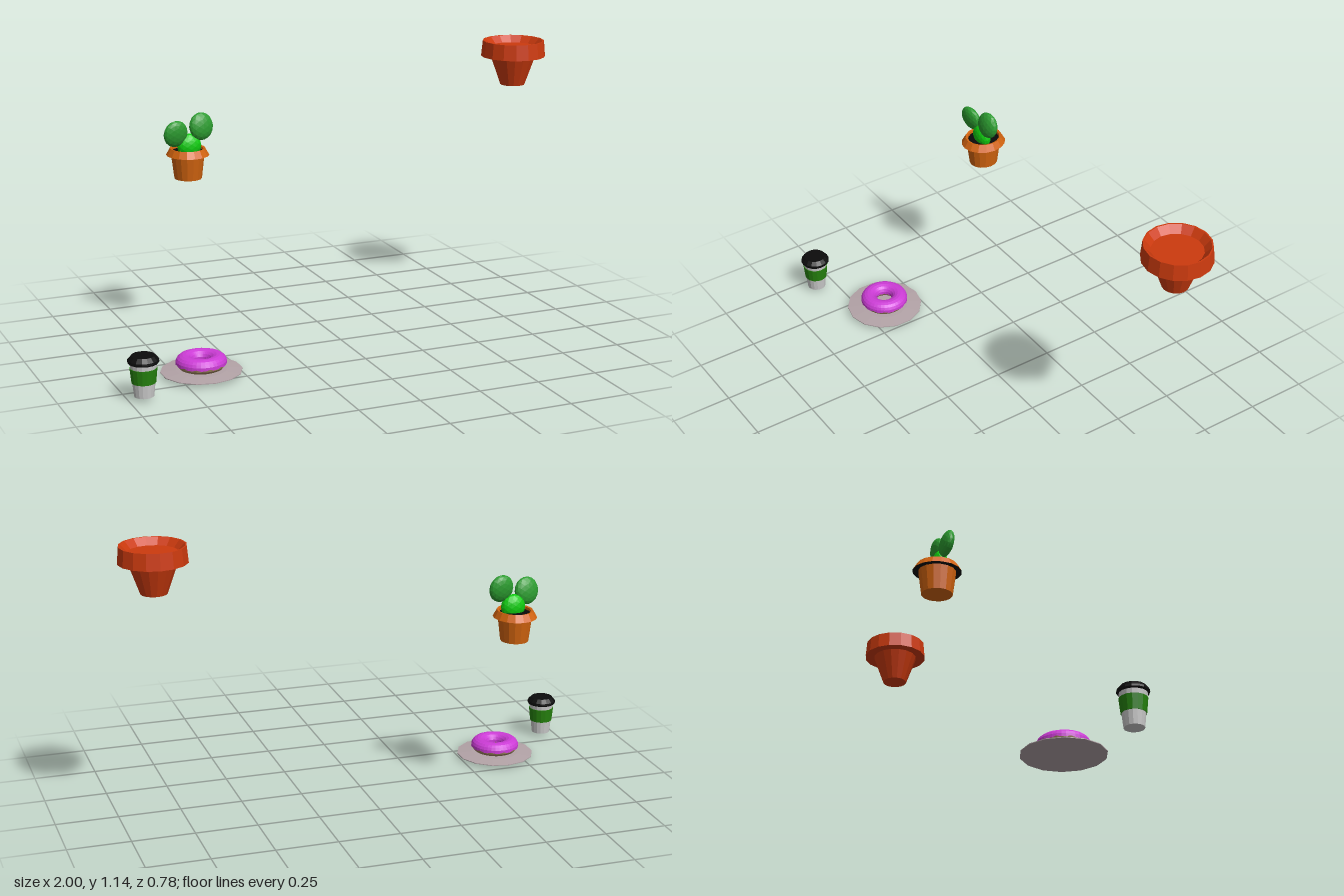
import * as THREE from 'three';

const material = (color, flat = true) =>
  new THREE.MeshStandardMaterial({ color, flatShading: flat, side: THREE.DoubleSide });

// Turned part: profile listed bottom to top as [radius, height]
function turned(name, profile, color, sides = 16) {
  const points = profile.map(([r, y]) => new THREE.Vector2(r, y));
  const mesh = new THREE.Mesh(new THREE.LatheGeometry(points, sides), material(color));
  mesh.name = name;
  return mesh;
}

function part(name, x, z, ...children) {
  const group = new THREE.Group();
  group.name = name;
  group.position.set(x, 0, z);
  group.add(...children);
  return group;
}

function ellipsoid(name, [x, y, z], [rx, ry, rz], color, tilt = 0, turn = 0) {
  const mesh = new THREE.Mesh(new THREE.IcosahedronGeometry(1, 2), material(color));
  mesh.name = name;
  mesh.position.set(x, y, z);
  mesh.scale.set(rx, ry, rz);
  mesh.rotation.set(tilt, turn, 0);
  return mesh;
}

function largePot() {
  const color = 0xcc3a0e;
  return part('largePot', 0.866, -0.187,
    turned('potBody', [[0, 0.956], [0.051, 0.956], [0.094, 1.077]], color),
    turned('potRim', [[0.094, 1.077], [0.134, 1.077], [0.128, 1.142], [0.122, 1.142],
      [0.097, 1.115], [0, 1.115]], color));
}

function cactusPot() {
  const orange = 0xd2640f, black = 0x0a0a0a, green = 0x2c9c30;
  // The pot is slightly oval, wider along z
  const pot = part('pot', 0, 0,
    turned('potBody', [[0, 0.666], [0.06, 0.666], [0.073, 0.765]], orange),
    turned('potRim', [[0.094, 0.762], [0.077, 0.79], [0.068, 0.788], [0.066, 0.775]], orange),
    turned('rimUnderside', [[0.07, 0.762], [0.094, 0.762]], black),
    turned('soil', [[0.069, 0.778], [0, 0.78]], black));
  pot.scale.x = 0.91;
  return part('pottedCactus', -0.54, -0.292, pot,
    ellipsoid('cactusBase', [0.004, 0.8, 0.01], [0.05, 0.05, 0.03], 0x10cc10),
    ellipsoid('cactusLeftPad', [0.054, 0.876, 0.014], [0.052, 0.056, 0.026], green, -0.12, 0.15),
    ellipsoid('cactusRightPad', [-0.056, 0.856, 0.023], [0.052, 0.055, 0.024], green, 0.16, 0.15));
}

function coffeeCup() {
  const white = 0xd8d8d8;
  return part('coffeeCup', -0.94, 0.33,
    turned('cup', [[0, 0.014], [0.038, 0.014], [0.052, 0.147]], white),
    turned('sleeve', [[0.044, 0.068], [0.0465, 0.068], [0.0525, 0.126], [0.05, 0.126]], 0x26820e),
    turned('lid', [[0, 0.145], [0.057, 0.145], [0.06, 0.15], [0.059, 0.158], [0.045, 0.174],
      [0, 0.174]], 0x0c0c0c));
}

function doughnut() {
  const ringR = 0.066, tube = 0.034, midY = 0.05;
  const arc = (from, to, steps, r, h) => Array.from({ length: steps + 1 }, (_, i) => {
    const a = from + (to - from) * i / steps;
    return [ringR + r * Math.cos(a), midY + h * Math.sin(a)];
  });
  const dough = turned('dough', arc(-Math.PI, Math.PI, 14, 0.031, 0.028), 0xa08560, 24);
  const icing = turned('icing', arc(-0.15, Math.PI + 0.15, 9, tube, 0.031), 0xcc3cd6, 36);
  // Wavy lower edge of the icing
  const pos = icing.geometry.attributes.position;
  for (let i = 0; i < pos.count; i++) {
    if (pos.getY(i) < midY) {
      const angle = Math.atan2(pos.getX(i), pos.getZ(i));
      pos.setY(i, pos.getY(i) + 0.003 * Math.cos(angle * 12));
    }
  }
  icing.geometry.computeVertexNormals();
  return [dough, icing];
}

export function createModel() {
  const group = new THREE.Group();
  group.name = 'potsAndSnacks';
  const plate = turned('plate', [[0, 0], [0.08, 0.002], [0.16, 0.013], [0.16, 0.016],
    [0.1, 0.021], [0, 0.022]], 0xb3a3a7, 14);
  group.add(largePot(), cactusPot(), coffeeCup(),
    part('doughnutOnPlate', -0.653, 0.155, plate, ...doughnut()));
  return group;
}
